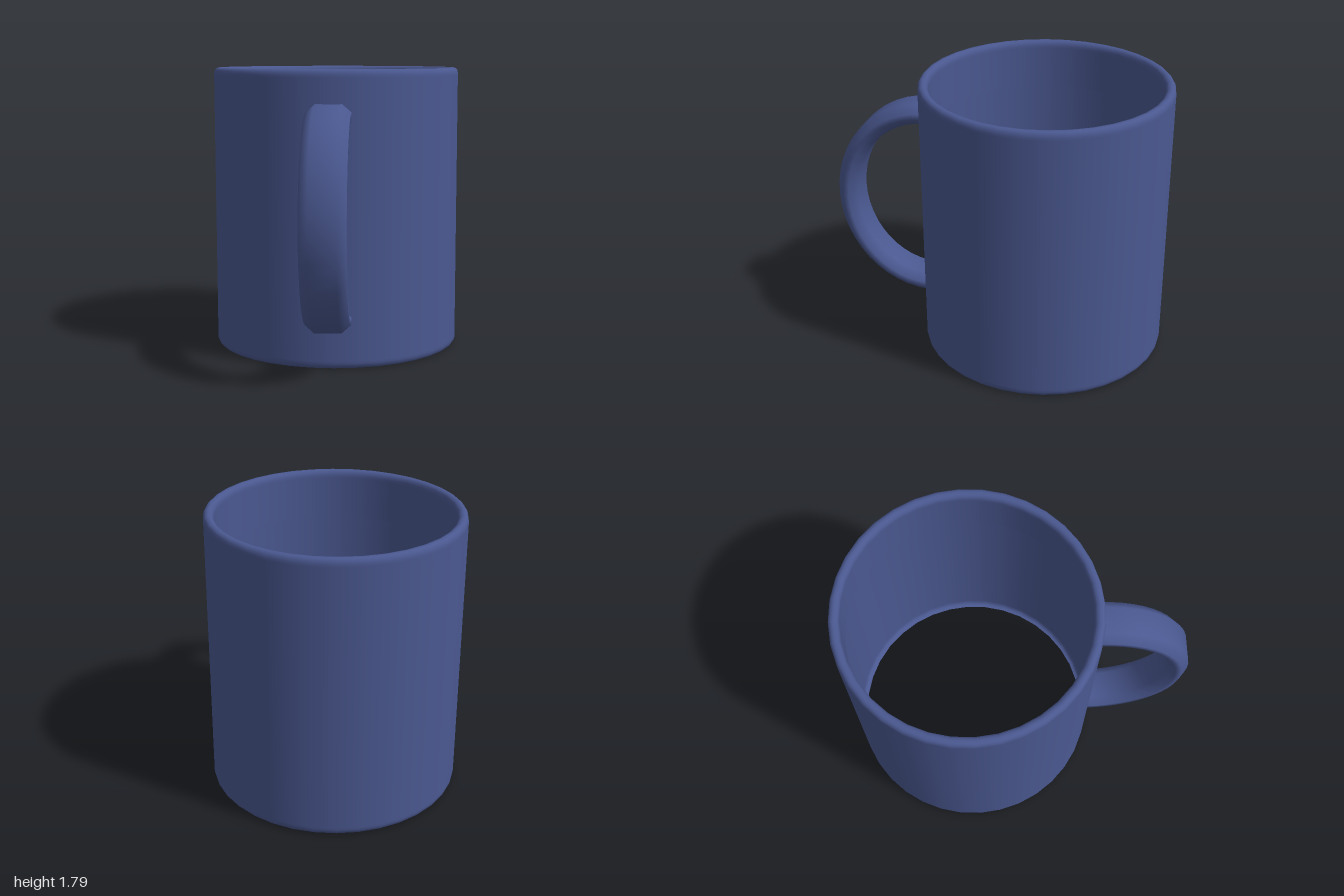
import * as THREE from 'three';

const WALL_SIDES = 36;
const HANDLE_STEPS = 24;

// Chamfered handle cross-section: [thickness, width] offsets, counter-clockwise
const SECTION = [
  [0.065, -0.08], [0.065, 0.08], [0.018, 0.133], [-0.018, 0.133],
  [-0.065, 0.08], [-0.065, -0.08], [-0.018, -0.133], [0.018, -0.133],
];

// Outer wall with rounded foot and rim, turning down into a short inner lip; open below
function wallGeometry() {
  const profile = [
    [0.757, 0], [0.772, 0.004], [0.783, 0.016], [0.7875, 0.034], [0.7875, 0.05],
    [0.7875, 1.74], [0.7875, 1.756], [0.783, 1.774], [0.772, 1.786], [0.757, 1.79],
    [0.741, 1.786], [0.729, 1.774], [0.725, 1.756], [0.725, 1.74], [0.725, 1.47],
  ].map(([r, y]) => new THREE.Vector2(r, y));
  return new THREE.LatheGeometry(profile, WALL_SIDES);
}

// Half-ellipse sweep of the section; local +x points away from the mug's axis
function handleGeometry() {
  const start = 0.768, reach = 0.542, rise = 0.612, midY = 0.912;
  const positions = [], indices = [], n = SECTION.length;
  for (let i = 0; i <= HANDLE_STEPS; i++) {
    const t = Math.PI * (i / HANDLE_STEPS - 0.5);
    const normal = new THREE.Vector2(Math.cos(t) / reach, Math.sin(t) / rise).normalize();
    for (const [thick, width] of SECTION) {
      positions.push(
        start + reach * Math.cos(t) + normal.x * thick,
        midY + rise * Math.sin(t) + normal.y * thick,
        width,
      );
    }
  }
  for (let i = 0; i < HANDLE_STEPS; i++) {
    for (let j = 0; j < n; j++) {
      const a = i * n + j, c = i * n + (j + 1) % n;
      indices.push(a, a + n, c, c, a + n, c + n);
    }
  }
  const geometry = new THREE.BufferGeometry();
  geometry.setAttribute('position', new THREE.Float32BufferAttribute(positions, 3));
  geometry.setIndex(indices);
  geometry.computeVertexNormals();
  return geometry;
}

export function createModel() {
  const material = new THREE.MeshStandardMaterial({ color: 0x4a5890, side: THREE.DoubleSide });

  const wall = new THREE.Mesh(wallGeometry(), material);
  wall.name = 'mugWall';

  // Handle points towards the front right
  const handle = new THREE.Mesh(handleGeometry(), material);
  handle.name = 'handle';
  handle.rotation.y = -THREE.MathUtils.degToRad(122);

  const mug = new THREE.Group();
  mug.name = 'mug';
  mug.add(wall, handle);
  mug.position.set(0.013, 0, -0.211);

  const model = new THREE.Group();
  model.add(mug);
  return model;
}
